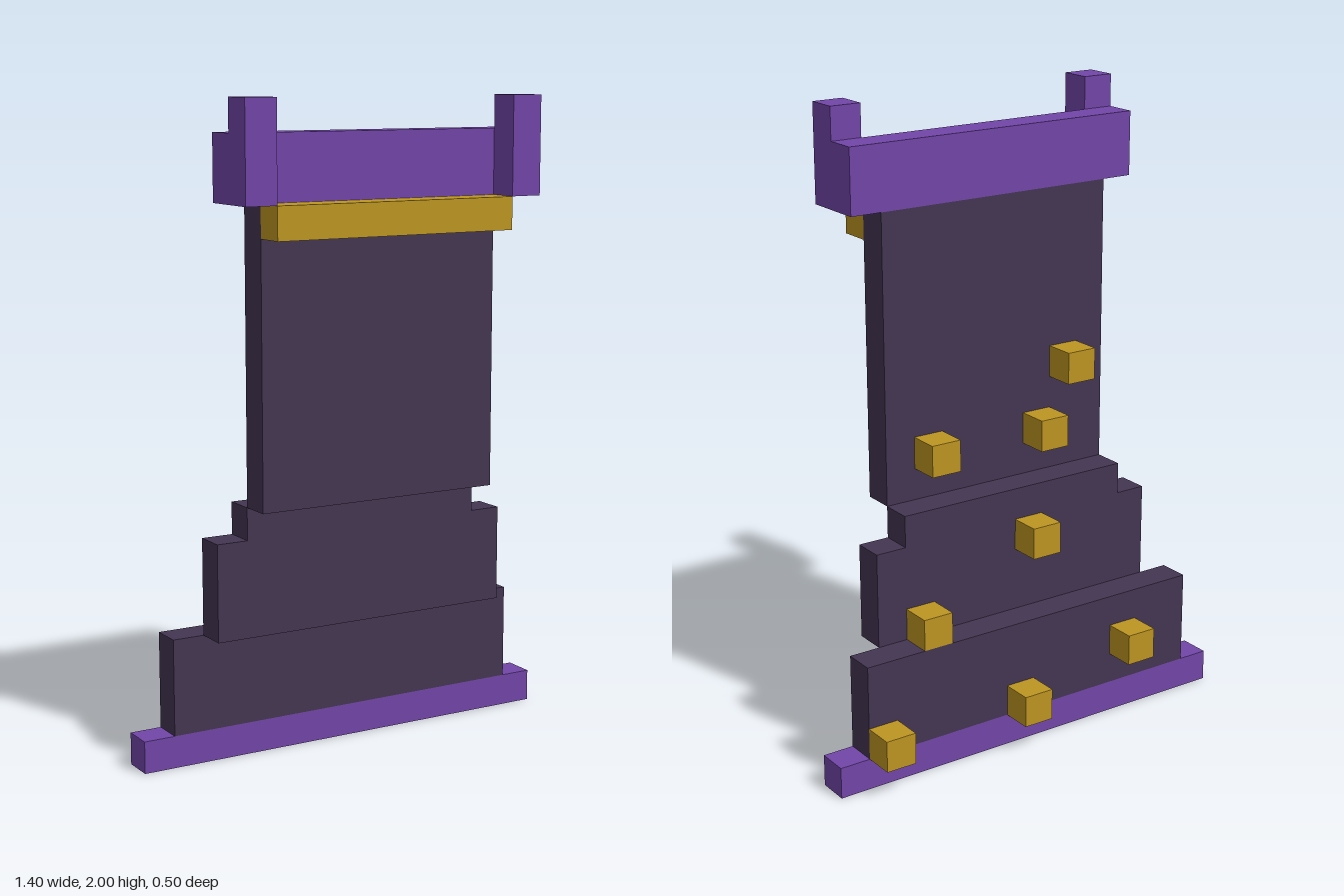
import * as THREE from 'three';

const U = 0.1; // block size

export function createModel() {
  const model = new THREE.Group();
  model.name = 'cape';

  const mat = (name, color) => {
    const m = new THREE.MeshStandardMaterial({ color });
    m.name = name;
    return m;
  };
  const cloth = mat('darkCloth', 0x443652);
  const trim = mat('purpleTrim', 0x7246a8);
  const gold = mat('gold', 0xbd9522);

  // Box from its low corner to its high corner, in blocks
  const block = (name, material, [x0, y0, z0], [x1, y1, z1]) => {
    const mesh = new THREE.Mesh(
      new THREE.BoxGeometry((x1 - x0) * U, (y1 - y0) * U, (z1 - z0) * U), material);
    mesh.position.set((x0 + x1) / 2 * U, (y0 + y1) / 2 * U, (z0 + z1) / 2 * U);
    mesh.name = name;
    model.add(mesh);
  };

  // Panels stepping back and widening toward the hem
  block('hem', trim, [-7, 0, -1.5], [7, 1, -0.5]);
  block('lowerPanel', cloth, [-6, 1, -1.5], [6, 4, -0.5]);
  block('middlePanel', cloth, [-5, 4, -0.5], [5, 7, 0.5]);
  block('middlePanelTop', cloth, [-4, 7, -0.5], [4, 8, 0.5]);
  block('upperPanel', cloth, [-4, 8, 0.5], [4, 17, 1.5]);

  // Collar, its two front posts and the chain between them
  block('collar', trim, [-5, 17, 0.5], [5, 19, 1.5]);
  block('leftCollarPost', trim, [4, 17, 1.5], [5, 20, 2.5]);
  block('rightCollarPost', trim, [-5, 17, 1.5], [-4, 20, 2.5]);
  block('chain', gold, [-4, 16, 1.5], [4, 17, 2.5]);

  // Gold studs on the back
  const studs = [
    [5, 1, -2.5], [0, 1, -2.5], [-4, 2, -2.5],
    [3, 4, -1.5], [-1, 6, -1.5],
    [2, 9, -0.5], [-2, 9, -0.5], [-3, 11, -0.5],
  ];
  studs.forEach(([x, y, z], i) =>
    block(`stud${i + 1}`, gold, [x, y, z], [x + 1, y + 1, z + 1]));

  return model;
}
